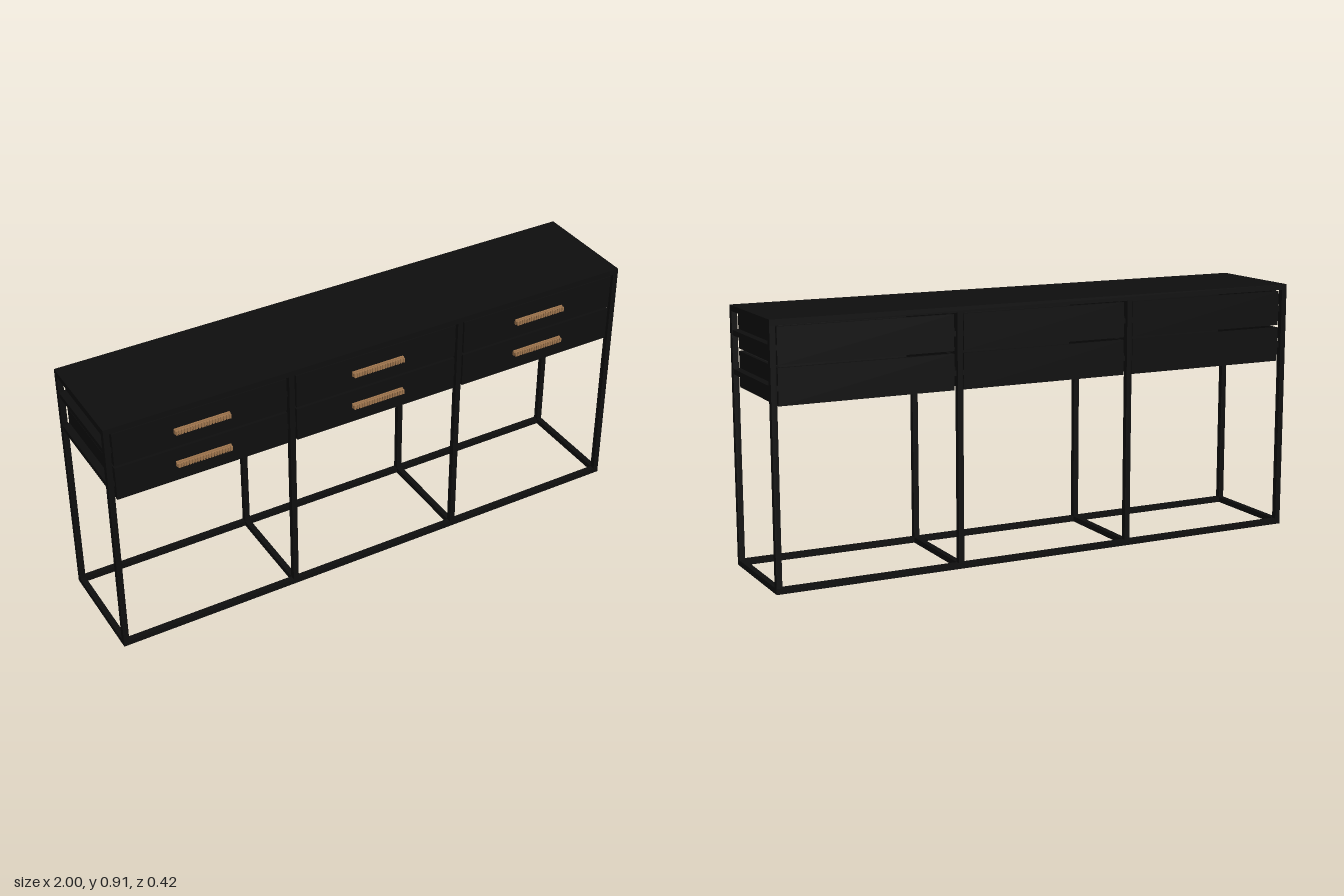
import * as THREE from 'three';

const black = new THREE.MeshStandardMaterial({ color: 0x0e0e0e });
black.name = 'black';
const bronze = new THREE.MeshStandardMaterial({ color: 0xa0764e });
bronze.name = 'bronze';

const BAR = 0.02, HEIGHT = 0.91, FRONT = 0.195, BACK = -0.207;
const MID = (FRONT + BACK) / 2, DEPTH = FRONT - BACK;
const POSTS = [-0.99, -0.33, 0.33, 0.99];
const BAYS = [-0.66, 0, 0.66];

// Box given by its limits on each axis
function box(parent, name, mat, x0, x1, y0, y1, z0, z1) {
  const mesh = new THREE.Mesh(new THREE.BoxGeometry(x1 - x0, y1 - y0, z1 - z0), mat);
  mesh.position.set((x0 + x1) / 2, (y0 + y1) / 2, (z0 + z1) / 2);
  mesh.name = name;
  parent.add(mesh);
  return mesh;
}

// Open-topped drawer with a front panel
function drawer(y0, y1) {
  const g = new THREE.Group();
  g.name = 'drawer';
  const w = 0.312, t = 0.012, back = -0.197, front = 0.192;
  box(g, 'drawerFront', black, -w, w, y0, y1, front - t, front);
  box(g, 'drawerBack', black, -w, w, y0, y1, back, back + t);
  box(g, 'drawerBottom', black, -w + t, w - t, y0, y0 + t, back + t, front - t);
  for (const s of [-1, 1]) {
    const x = s * (w - t / 2);
    box(g, 'drawerSide', black, x - t / 2, x + t / 2, y0, y1, back + t, front - t);
  }
  return g;
}

// Pull with a back plate, a core and a finely ribbed grip
function handle(y) {
  const g = new THREE.Group();
  g.name = 'handle';
  box(g, 'handlePlate', bronze, -0.1, 0.1, y - 0.009, y + 0.009, 0.192, 0.199);
  box(g, 'handleCore', bronze, -0.1, 0.1, y - 0.006, y + 0.006, 0.199, 0.206);
  const ribs = 20, pitch = 0.2 / ribs;
  for (let i = 0; i < ribs; i++) {
    const x = -0.1 + (i + 0.5) * pitch;
    box(g, 'handleRib', bronze, x - pitch * 0.35, x + pitch * 0.35, y - 0.008, y + 0.008, 0.204, 0.21);
  }
  return g;
}

export function createModel() {
  const model = new THREE.Group();
  model.name = 'consoleTable';

  // Top panel
  box(model, 'top', black, -1, 1, HEIGHT - BAR, HEIGHT, BACK, FRONT);

  // Long floor rails
  for (const z of [BACK, FRONT - BAR]) {
    box(model, 'floorRail', black, -1, 1, 0, BAR, z, z + BAR);
  }

  // Posts, floor cross bars and drawer runners at each upright frame
  for (const x of POSTS) {
    const frame = new THREE.Group();
    frame.name = 'uprightFrame';
    model.add(frame);
    const h = BAR / 2;
    for (const z of [BACK, FRONT - BAR]) {
      box(frame, 'post', black, x - h, x + h, BAR, HEIGHT - BAR, z, z + BAR);
    }
    box(frame, 'crossBar', black, x - h, x + h, 0, BAR, BACK + BAR, FRONT - BAR);
    for (const y of [0.817, 0.683]) {
      const x0 = Math.max(x - 0.02, -0.998), x1 = Math.min(x + 0.02, 0.998);
      box(frame, 'runner', black, x0, x1, y - 0.009, y + 0.009, MID - DEPTH / 2 + 0.012, MID + DEPTH / 2 - 0.012);
    }
  }

  // Two drawers with pulls in each bay
  for (const x of BAYS) {
    const bay = new THREE.Group();
    bay.name = 'drawerBay';
    bay.position.x = x;
    bay.add(drawer(0.759, 0.884), drawer(0.625, 0.75), handle(0.822), handle(0.692));
    model.add(bay);
  }
  return model;
}
